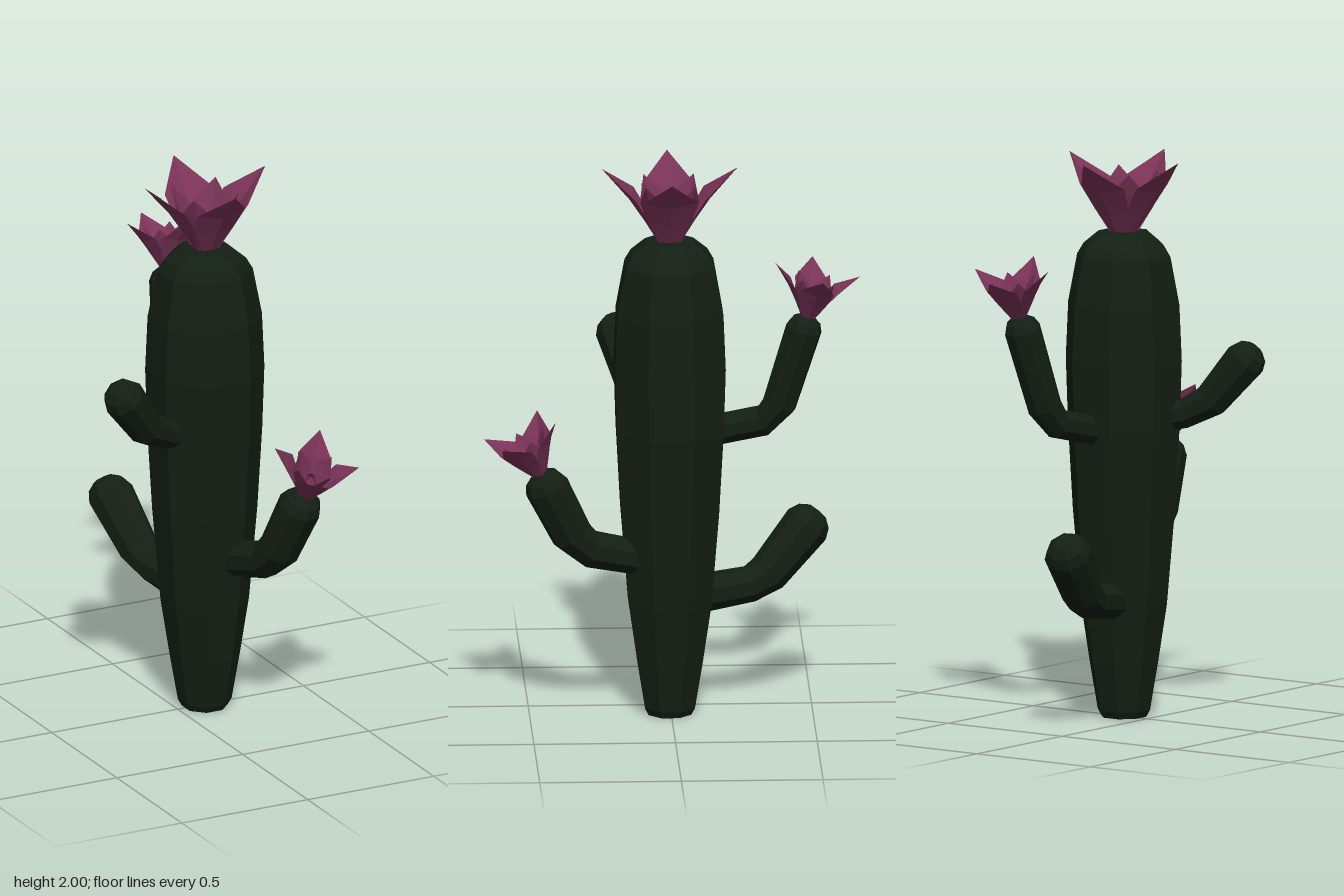
import * as THREE from 'three';

const SIDES = 8;
const green = new THREE.MeshStandardMaterial({ color: 0x141f14, flatShading: true });
const pink = new THREE.MeshStandardMaterial({ color: 0x7a3358, flatShading: true, side: THREE.DoubleSide });
const V = (x, y, z) => new THREE.Vector3(x, y, z);

// Surface through rows of points, optionally closed around each row
function skin(rows, closed) {
  const n = rows[0].length, index = [];
  for (let i = 0; i < rows.length - 1; i++) {
    for (let j = 0; j < (closed ? n : n - 1); j++) {
      const k = (j + 1) % n, a = i * n, b = a + n;
      index.push(a + j, a + k, b + j, a + k, b + k, b + j);
    }
  }
  const geometry = new THREE.BufferGeometry().setFromPoints(rows.flat());
  geometry.setIndex(index);
  geometry.computeVertexNormals();
  return geometry;
}

// Octagonal arm along a bent path of [x, y, z, radius], with a domed tip
function makeArm(name, path) {
  const centres = path.map(([x, y, z]) => V(x, y, z));
  const radii = path.map((p) => p[3]);
  const last = centres.length - 1;
  const end = centres[last], r = radii[last];
  const dir = end.clone().sub(centres[last - 1]).normalize();
  for (const [d, s] of [[0.45, 0.8], [0.72, 0.42], [0.75, 0]]) {
    centres.push(end.clone().addScaledVector(dir, d * r));
    radii.push(s * r);
  }
  const run = end.clone().sub(centres[0]);
  const side = V(-run.z, 0, run.x).normalize();
  const rows = centres.map((c, i) => {
    const before = centres[Math.max(i - 1, 0)];
    const after = centres[Math.min(i + 1, centres.length - 1)];
    const up = after.clone().sub(before).normalize().cross(side).normalize();
    return Array.from({ length: SIDES }, (_, j) => {
      const a = ((j + 0.5) / SIDES) * Math.PI * 2;
      return c.clone()
        .addScaledVector(side, Math.cos(a) * radii[i])
        .addScaledVector(up, Math.sin(a) * radii[i]);
    });
  });
  const mesh = new THREE.Mesh(skin(rows, true), green);
  mesh.name = name;
  return { mesh, tip: centres[centres.length - 1] };
}

// Pointed petal, creased down the middle; stations are [reach, height, half width]
function petalGeometry(stations) {
  return skin(stations.map(([r, y, w]) => [
    V(r - w * 0.12, y + w * 0.12, -w),
    V(r + w * 0.08, y - w * 0.08, 0),
    V(r - w * 0.12, y + w * 0.12, w),
  ]), false);
}

const whorls = [
  { name: 'outerPetal', turn: 0, geometry: petalGeometry([[0.03, -0.01, 0.035], [0.08, 0.08, 0.075], [0.135, 0.165, 0.095], [0.24, 0.27, 0]]) },
  { name: 'innerPetal', turn: Math.PI / 4, geometry: petalGeometry([[0.025, -0.01, 0.03], [0.065, 0.08, 0.06], [0.09, 0.14, 0.065], [0.125, 0.225, 0]]) },
  { name: 'heartPetal', turn: 0, geometry: petalGeometry([[0.012, 0, 0.015], [0.035, 0.06, 0.035], [0.035, 0.1, 0.03], [0.015, 0.14, 0]]) },
];

// Flower of three whorls of four petals
function makeFlower(name, position, axis, spin, scale) {
  const flower = new THREE.Group();
  flower.name = name;
  for (const { name: petalName, turn, geometry } of whorls) {
    for (let i = 0; i < 4; i++) {
      const petal = new THREE.Mesh(geometry, pink);
      petal.name = petalName;
      petal.rotation.y = turn + (i * Math.PI) / 2;
      flower.add(petal);
    }
  }
  flower.position.copy(position);
  flower.quaternion.setFromUnitVectors(V(0, 1, 0), axis.normalize());
  flower.rotateY(THREE.MathUtils.degToRad(spin));
  flower.scale.setScalar(scale);
  return flower;
}

export function createModel() {
  const model = new THREE.Group();
  model.name = 'cactus';

  // Trunk: tapered octagon, profile given to the middle of its flats
  const profile = [[0, 0.005], [0.075, 0.005], [0.088, 0.03], [0.115, 0.2], [0.145, 0.41], [0.172, 0.75],
    [0.188, 1.05], [0.195, 1.28], [0.187, 1.48], [0.157, 1.65], [0.135, 1.69], [0.085, 1.735], [0, 1.74]];
  const flat = Math.cos(Math.PI / SIDES);
  const trunk = new THREE.Mesh(
    new THREE.LatheGeometry(profile.map(([r, y]) => new THREE.Vector2(r / flat, y)), SIDES, Math.PI / SIDES), green);
  trunk.name = 'trunk';
  trunk.position.set(0.105, 0, 0.005);
  model.add(trunk, makeFlower('topFlower', V(0.105, 1.73, 0.005), V(0, 1, 0), 0, 1));

  // Arms without flowers
  model.add(makeArm('rightArm', [[0.05, 1.06, 0.03, 0.05], [-0.1, 1.095, 0.09, 0.056],
    [-0.19, 1.145, 0.125, 0.065], [-0.305, 1.295, 0.175, 0.076]]).mesh);
  model.add(makeArm('lowerBackArm', [[0.08, 0.43, -0.08, 0.07], [0.04, 0.455, -0.28, 0.065],
    [0.025, 0.49, -0.345, 0.073], [-0.015, 0.655, -0.485, 0.085]]).mesh);

  // Arms with flowers
  const front = makeArm('frontArm', [[0.15, 0.585, 0.1, 0.063], [0.2, 0.635, 0.29, 0.068],
    [0.22, 0.695, 0.355, 0.075], [0.255, 0.88, 0.445, 0.08]]);
  model.add(front.mesh, makeFlower('frontFlower', front.tip, V(0.05, 0.9, 0.4), -29, 0.64));

  const back = makeArm('upperBackArm', [[0.11, 1.03, -0.1, 0.055], [0.15, 1.085, -0.325, 0.056],
    [0.165, 1.15, -0.38, 0.062], [0.2, 1.435, -0.465, 0.066]]);
  model.add(back.mesh, makeFlower('backFlower', back.tip, V(0.03, 0.97, -0.2), 5, 0.64));

  return model;
}
